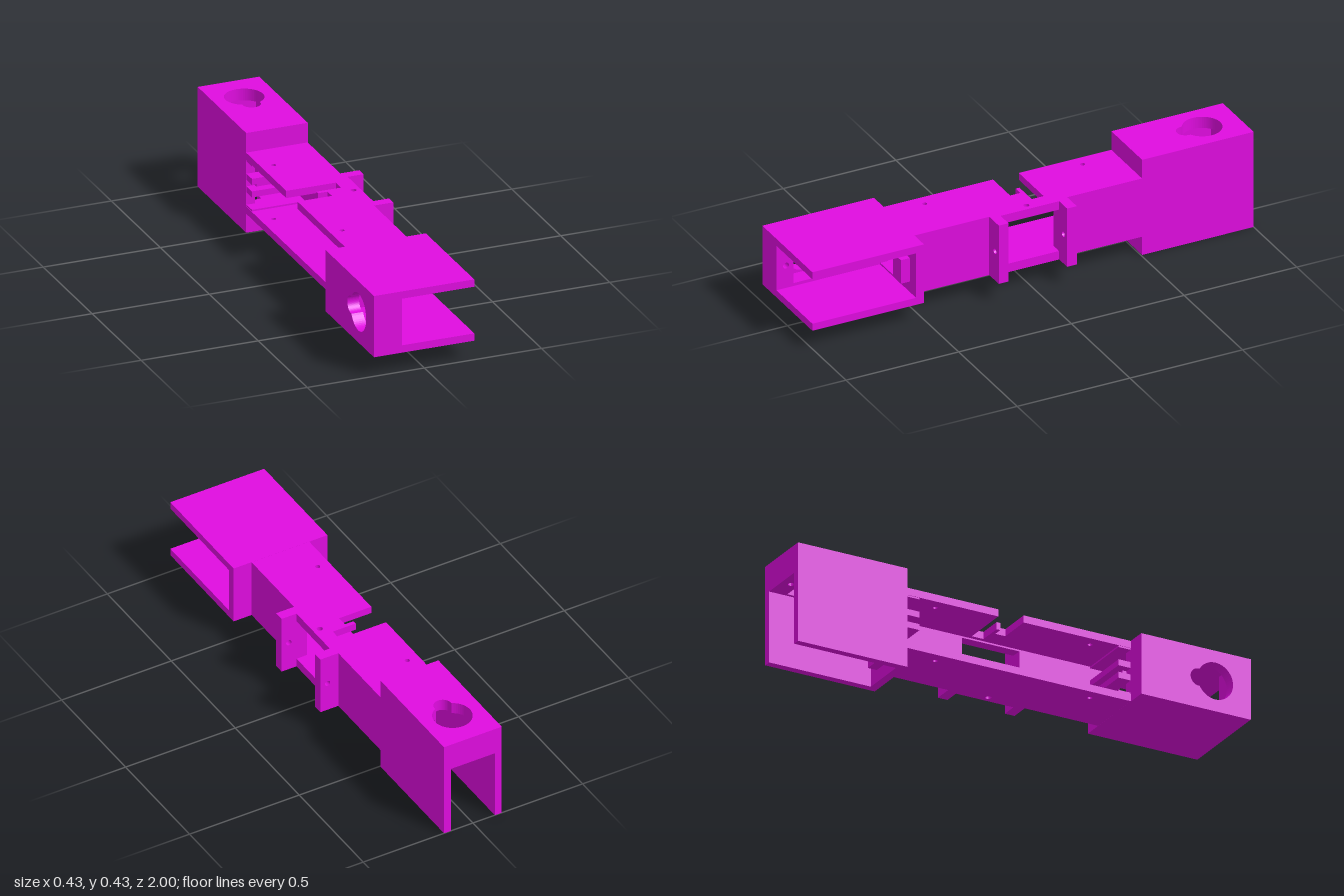
import * as THREE from 'three';

const material = new THREE.MeshStandardMaterial({ color: 0xe00ce0, flatShading: true });
const MID = 0.215; // height of the long axis

function add(group, name, geometry) {
  const mesh = new THREE.Mesh(geometry, material);
  mesh.name = name;
  group.add(mesh);
  return mesh;
}

// Box given by its minimum and maximum on each axis
function box(group, name, x0, x1, y0, y1, z0, z1) {
  const g = new THREE.BoxGeometry(x1 - x0, y1 - y0, z1 - z0);
  g.translate((x0 + x1) / 2, (y0 + y1) / 2, (z0 + z1) / 2);
  return add(group, name, g);
}

const polygon = (pts) => new THREE.Shape(pts.map(([a, b]) => new THREE.Vector2(a, b)));
const rect = (a0, a1, b0, b1) => polygon([[a0, b0], [a1, b0], [a1, b1], [a0, b1]]);
function circle(a, b, r) {
  const p = new THREE.Path();
  p.absarc(a, b, r, 0, Math.PI * 2, false);
  return p;
}

// Pierced plate between n0 and n1 along an axis; outline is (z,y), (x,z) or (x,y)
function plate(group, name, axis, outline, holes, n0, n1) {
  outline.holes.push(...holes);
  const g = new THREE.ExtrudeGeometry(outline, { depth: n1 - n0, bevelEnabled: false, curveSegments: 24 });
  if (axis === 'x') g.rotateY(-Math.PI / 2).translate(n1, 0, 0);
  else if (axis === 'y') g.rotateX(Math.PI / 2).translate(0, n1, 0);
  else g.translate(0, 0, n0);
  return add(group, name, g);
}

// Large round opening with a small lobe
function keyhole() {
  const p = new THREE.Path();
  p.absarc(0.84, 0, 0.08, -Math.PI + 0.479, Math.PI - 0.479, false);
  p.absarc(0.765, 0, 0.037, 1.463, Math.PI * 2 - 1.463, false);
  p.closePath();
  return p;
}

// Three-sided end housing: open towards +x and +z, centred on the long axis
function endHousing(name) {
  const g = new THREE.Group();
  g.name = name;
  for (const s of [-1, 1]) {
    const [a, b] = s > 0 ? [0.1, 0.1315] : [-0.1315, -0.1];
    box(g, 'housingSide', -0.215, 0.213, a, b, 0.505, 1);
  }
  // Thick wall: keyhole skin and pocketed inner layer with screw holes
  plate(g, 'keyholeWall', 'x', rect(0.505, 1, -0.1, 0.1), [keyhole()], -0.215, -0.165);
  plate(g, 'pocketWall', 'x', rect(0.505, 1, -0.1, 0.1),
    [rect(0.62, 0.925, -0.087, 0.087), circle(0.957, 0, 0.013), circle(0.59, 0, 0.013)], -0.165, -0.095);
  // Bulkhead with the square passage, and its notched tab
  plate(g, 'bulkhead', 'z', rect(-0.095, 0.213, -0.1, 0.1), [rect(-0.093, 0.093, -0.093, 0.093)], 0.505, 0.54);
  plate(g, 'notchedTab', 'x',
    polygon([[0.54, -0.053], [0.58, -0.053], [0.58, 0.053], [0.54, 0.053]]), [], 0.093, 0.16);
  g.position.y = MID;
  return g;
}

export function createModel() {
  const model = new THREE.Group();
  model.name = 'mountingArm';

  // Two equal housings, the rear one turned a quarter so that it opens downwards
  model.add(endHousing('frontHousing'));
  const rear = endHousing('rearHousing');
  rear.rotation.set(Math.PI, 0, Math.PI / 2);
  model.add(rear);

  // Middle body: floor, roof with stepped cut, and one side wall
  const body = new THREE.Group();
  body.name = 'middleBody';
  model.add(body);
  const screwHoles = () => [circle(-0.08, -0.35, 0.01), circle(-0.08, 0.35, 0.01), circle(0.115, 0, 0.012)];
  plate(body, 'floor', 'y', rect(-0.132, 0.131, -0.505, 0.505), screwHoles(), 0.084, 0.115);
  const roof = polygon([
    [-0.132, -0.505], [0.131, -0.505], [0.131, 0.505], [-0.132, 0.505],
    [-0.132, 0.02], [0.015, 0.02], [0.015, -0.025], [-0.025, -0.025],
    [-0.025, -0.042], [0.08, -0.042], [0.08, -0.095], [-0.132, -0.095],
  ]);
  plate(body, 'roof', 'y', roof, screwHoles(), 0.315, 0.346);
  plate(body, 'sideWall', 'x', rect(-0.505, 0.505, 0.115, 0.315), [rect(-0.13, 0.13, 0.122, 0.308)], 0.098, 0.131);
  plate(body, 'windowFrame', 'x', rect(-0.13, 0.13, 0.084, 0.346), [rect(-0.13 + 0.001, 0.129, 0.122, 0.308)], 0.131, 0.145);

  for (const s of [-1, 1]) {
    const span = (a, b) => (s > 0 ? [a, b] : [-b, -a]);
    // Drilled flange beside the window
    plate(body, 'flange', 'z', rect(0.131, 0.213, 0.084, 0.346), [circle(0.18, MID, 0.012)], ...span(0.13, 0.173));
    // Crossbar with two fingers, and thin lips along floor and roof
    box(body, 'crossbar', -0.095, 0.098, 0.175, 0.255, ...span(0.488, 0.506));
    for (const y of [0.175, 0.229]) {
      box(body, 'finger', -0.13, 0.098, y, y + 0.026, ...span(0.45, 0.505));
    }
    for (const y of [0.115, 0.308]) {
      box(body, 'lip', -0.13, 0.098, y, y + 0.007, ...span(0.45, 0.505));
    }
  }
  return model;
}
